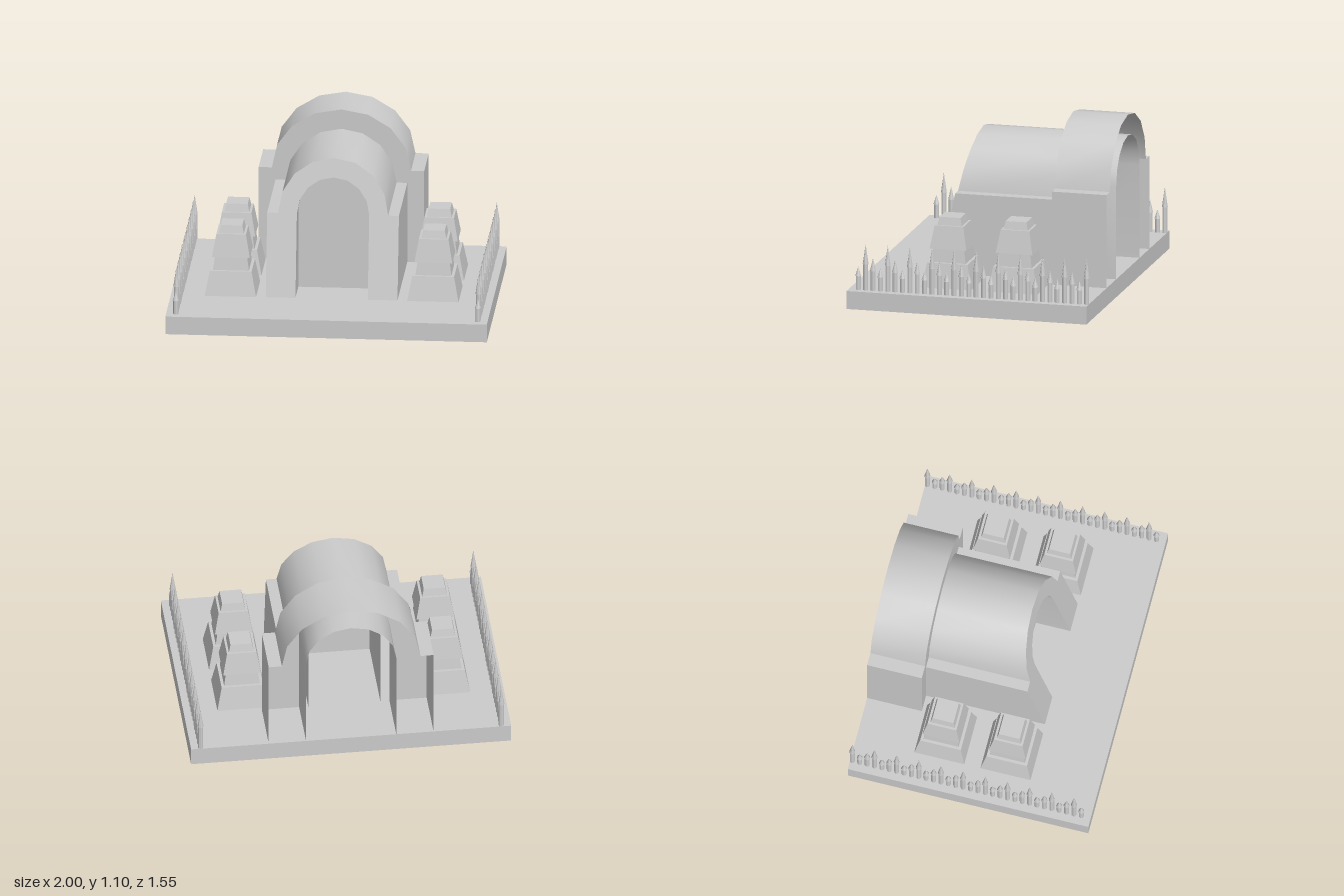
import * as THREE from 'three';
import { toCreasedNormals } from 'three/addons/utils/BufferGeometryUtils.js';

const FLOOR = 0.115;
const smooth = new THREE.MeshStandardMaterial({ color: 0xcccccc, side: THREE.DoubleSide });
const faceted = new THREE.MeshStandardMaterial({ color: 0xcccccc, flatShading: true });

function addMesh(parent, name, geometry, material, x = 0, y = 0, z = 0) {
  const mesh = new THREE.Mesh(geometry, material);
  mesh.name = name;
  mesh.position.set(x, y, z);
  parent.add(mesh);
  return mesh;
}

// Arch outline from right foot over the top to left foot; wall is the half width of an optional ledge
function archOutline(rx, ry, spring, wall) {
  const pts = [];
  for (let i = 0; i <= 8; i++) {
    const a = (i / 8) * Math.PI;
    pts.push(new THREE.Vector2(rx * Math.cos(a), spring + ry * Math.sin(a)));
  }
  const foot = wall ?? rx;
  const side = (s) => [new THREE.Vector2(s * foot, FLOOR), ...(wall ? [new THREE.Vector2(s * wall, spring)] : [])];
  return [...side(1), ...pts, ...side(-1).reverse()];
}

// Surface stretched along z from a front rule to a flat back
function sweep(outline, frontZ, backZ, inward) {
  const pos = [];
  for (let i = 0; i < outline.length - 1; i++) {
    const [p, q] = inward ? [outline[i + 1], outline[i]] : [outline[i], outline[i + 1]];
    const a = [p.x, p.y, frontZ(p.y)], b = [p.x, p.y, backZ];
    const c = [q.x, q.y, backZ], d = [q.x, q.y, frontZ(q.y)];
    pos.push(...a, ...b, ...c, ...a, ...c, ...d);
  }
  const g = new THREE.BufferGeometry();
  g.setAttribute('position', new THREE.Float32BufferAttribute(pos, 3));
  return toCreasedNormals(g, 0.5);
}

// Flat outline whose z follows a rule of height
function face(outline, zRule) {
  const g = new THREE.ShapeGeometry(new THREE.Shape(outline));
  const p = g.attributes.position;
  for (let i = 0; i < p.count; i++) p.setZ(i, zRule(p.getY(i)));
  g.computeVertexNormals();
  return g;
}

// Hollow vault: outer shell, inner lining and front ring, open at the back
function vault(name, outer, inner, frontZ, backZ) {
  const group = new THREE.Group();
  group.name = name;
  addMesh(group, 'outerShell', sweep(outer, frontZ, backZ, false), smooth);
  addMesh(group, 'innerLining', sweep(inner, frontZ, backZ, true), smooth);
  addMesh(group, 'frontRing', face([...outer, ...[...inner].reverse()], frontZ), smooth);
  return group;
}

export function createModel() {
  const model = new THREE.Group();
  model.name = 'vaultedHall';

  // Ground slab
  addMesh(model, 'base', new THREE.BoxGeometry(2, FLOOR, 1.54), faceted, 0, FLOOR / 2, 0);

  // Front vault with sloping entrance, and the larger rear vault
  const doorway = archOutline(0.225, 0.225, 0.63);
  const hall = vault('frontVault', archOutline(0.343, 0.343, 0.631, 0.41), doorway,
    (y) => 0.155 + (0.974 - y) * 0.217, -0.42);
  addMesh(hall, 'doorWall', face(doorway, () => 0.12), smooth);
  model.add(hall);
  model.add(vault('rearVault', archOutline(0.433, 0.39, 0.71, 0.515),
    archOutline(0.282, 0.257, 0.71), () => -0.42, -0.77));

  // Four stepped square towers
  const tiers = [[0.16, 0.115], [0.13, 0.27], [0.112, 0.27], [0.1, 0.355], [0.118, 0.355],
    [0.092, 0.5], [0.078, 0.5], [0.067, 0.55], [0, 0.55]];
  const towerGeo = new THREE.LatheGeometry(
    tiers.map(([half, y]) => new THREE.Vector2(half * Math.SQRT2, y)), 4, Math.PI / 4);
  for (const x of [-0.63, 0.63])
    for (const z of [-0.238, 0.186]) addMesh(model, 'tower', towerGeo, faceted, x, 0, z);

  // Palisades of pointed stakes in three repeating heights: [tip, shoulder]
  const stakes = [[0.262, 0.203], [0.408, 0.28], [0.322, 0.24]].map(([tip, shoulder]) =>
    new THREE.LatheGeometry([[0, 0.115], [0.016, 0.115], [0.016, shoulder], [0.019, shoulder], [0, tip]]
      .map(([r, y]) => new THREE.Vector2(r, y)), 8));
  for (const x of [-0.94, 0.94]) {
    const fence = new THREE.Group();
    fence.name = x < 0 ? 'rightPalisade' : 'leftPalisade';
    for (let i = 0; i < 32; i++) addMesh(fence, 'stake', stakes[i % 3], faceted, x, 0, 0.71 - i * 0.0473);
    model.add(fence);
  }
  return model;
}
